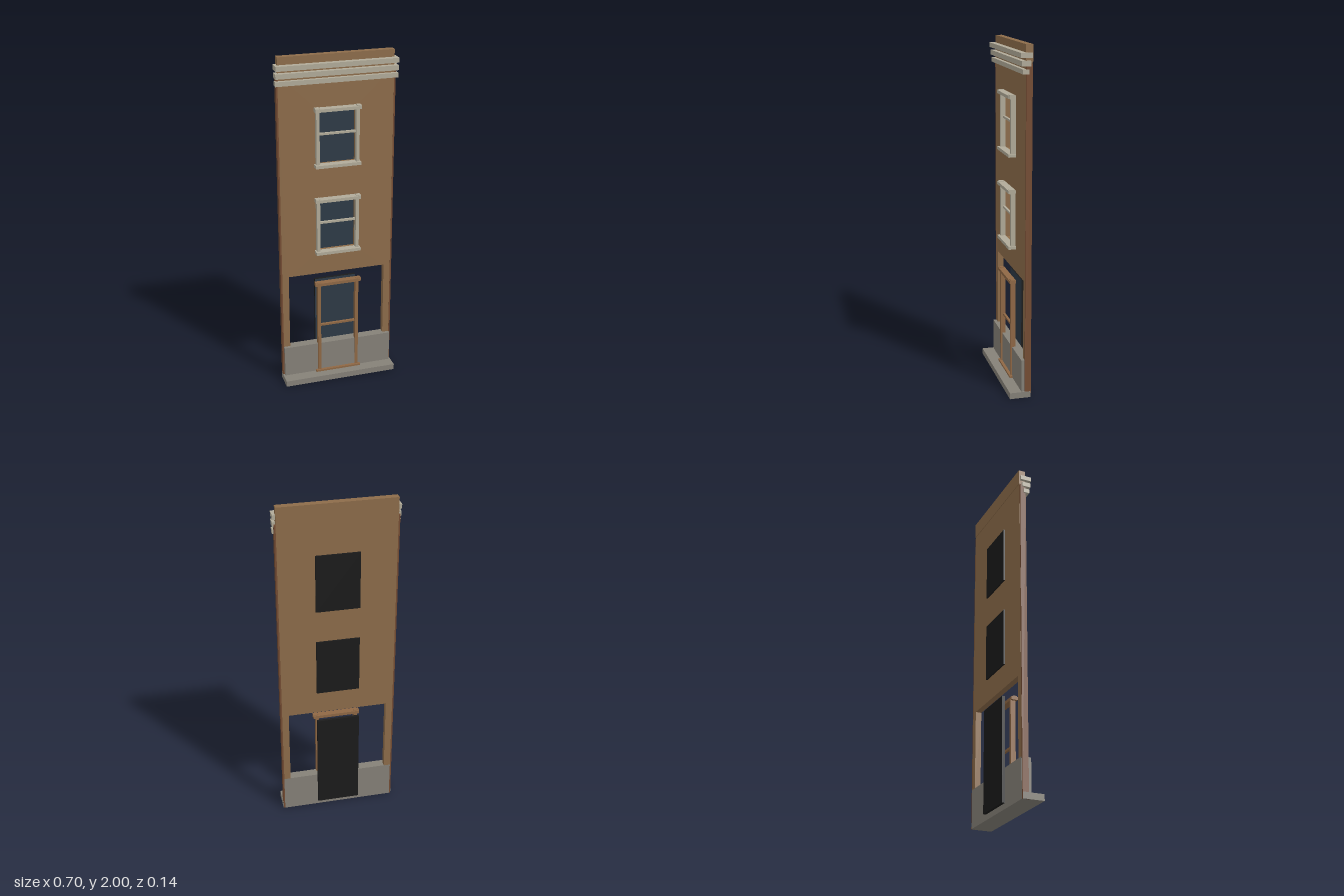
import * as THREE from 'three';

const mat = (name, color) => {
  const m = new THREE.MeshStandardMaterial({ color });
  m.name = name;
  return m;
};

export function createModel() {
  const brick = mat('brown wall', 0x8d6c4a);
  const edge = mat('dark brown edge', 0x754c33);
  const wood = mat('door wood', 0x8f6845);
  const stone = mat('grey stone', 0x858178);
  const trim = mat('pale trim', 0xb1ab99);
  const glass = mat('dark blue glass', 0x2d3a46);
  const black = mat('black backing', 0x1b1b1b);

  const model = new THREE.Group();
  model.name = 'townhouseFacade';

  // Box given by its lower and upper limits on each axis
  const box = (name, material, [x0, x1], [y0, y1], [z0, z1], parent = model) => {
    const mesh = new THREE.Mesh(new THREE.BoxGeometry(x1 - x0, y1 - y0, z1 - z0), material);
    mesh.position.set((x0 + x1) / 2, (y0 + y1) / 2, (z0 + z1) / 2);
    mesh.name = name;
    parent.add(mesh);
    return mesh;
  };
  const wide = (h) => [-h, h];

  const windows = [[0.825, 1.17], [1.36, 1.705]];
  const W = 0.333, BACK = -0.054, FRONT = -0.019;

  // Wall with shopfront opening and two window holes
  const shape = new THREE.Shape([
    [-W, 0.225], [-0.294, 0.225], [-0.294, 0.69], [0.294, 0.69],
    [0.294, 0.225], [W, 0.225], [W, 1.905], [-W, 1.905],
  ].map(([x, y]) => new THREE.Vector2(x, y)));
  for (const [y0, y1] of windows) {
    shape.holes.push(new THREE.Path([
      [-0.112, y0 + 0.01], [-0.112, y1 - 0.01], [0.112, y1 - 0.01], [0.112, y0 + 0.01],
    ].map(([x, y]) => new THREE.Vector2(x, y))));
  }
  const wall = new THREE.Mesh(
    new THREE.ExtrudeGeometry(shape, { depth: FRONT - BACK, bevelEnabled: false }), brick);
  wall.position.z = BACK;
  wall.name = 'wall';
  model.add(wall);
  box('parapet', brick, wide(W), [1.905, 2], [-0.057, -0.018]);

  // Narrow strips along both sides of the wall
  for (const s of [-1, 1]) {
    box('sideStrip', edge, s < 0 ? [-0.342, -W] : [W, 0.342], [0, 1.9], [-0.053, -0.018]);
  }

  // Stone base and front step
  box('base', stone, wide(W), [0, 0.226], [BACK, 0.001]);
  box('step', stone, wide(0.343), [0, 0.036], [-0.052, 0.07]);

  // Three stepped cornice bands
  [[1.844, 1.87, -0.033, 0.002], [1.886, 1.914, -0.042, 0.009], [1.93, 1.957, -0.051, 0.015]]
    .forEach(([y0, y1, z0, z1]) => box('corniceBand', trim, wide(0.35), [y0, y1], [z0, z1]));

  // Frame: two posts, header, sill and a thin middle rail
  const frame = (name, material, y0, y1, railY, half, headZ, sillH) => {
    const g = new THREE.Group();
    g.name = name;
    model.add(g);
    for (const s of [-1, 1]) {
      box('post', material, s < 0 ? [-0.126, -0.107] : [0.107, 0.126], [y0, y1], [-0.02, 0.009], g);
      box('headerCap', material, s < 0 ? [-half, -0.108] : [0.108, half],
        [y1 - 0.02, y1 + 0.004], [-0.012, headZ - 0.006], g);
    }
    box('header', material, wide(half - 0.002), [y1 - 0.018, y1], [-0.02, headZ], g);
    box('sill', material, wide(half), [y0, y0 + sillH], [-0.02, headZ], g);
    box('rail', material, wide(0.11), [railY - 0.006, railY + 0.006], [-0.018, -0.004], g);
  };

  // Pane: glass on the front, black on every other face
  const pane = (name, y, z) =>
    box(name, [black, black, black, black, glass, black], wide(0.126), y, z);

  for (const [y0, y1] of windows) {
    frame('windowFrame', trim, y0, y1, y0 + 0.193, 0.134, 0.024, 0.018);
    pane('windowPane', [y0 + 0.003, y1], [-0.063, BACK - 0.0005]);
  }
  frame('doorFrame', wood, 0.036, 0.638, 0.347, 0.14, 0.018, 0.011);
  pane('doorPane', [0.032, 0.635], [-0.072, BACK - 0.0005]);

  return model;
}
